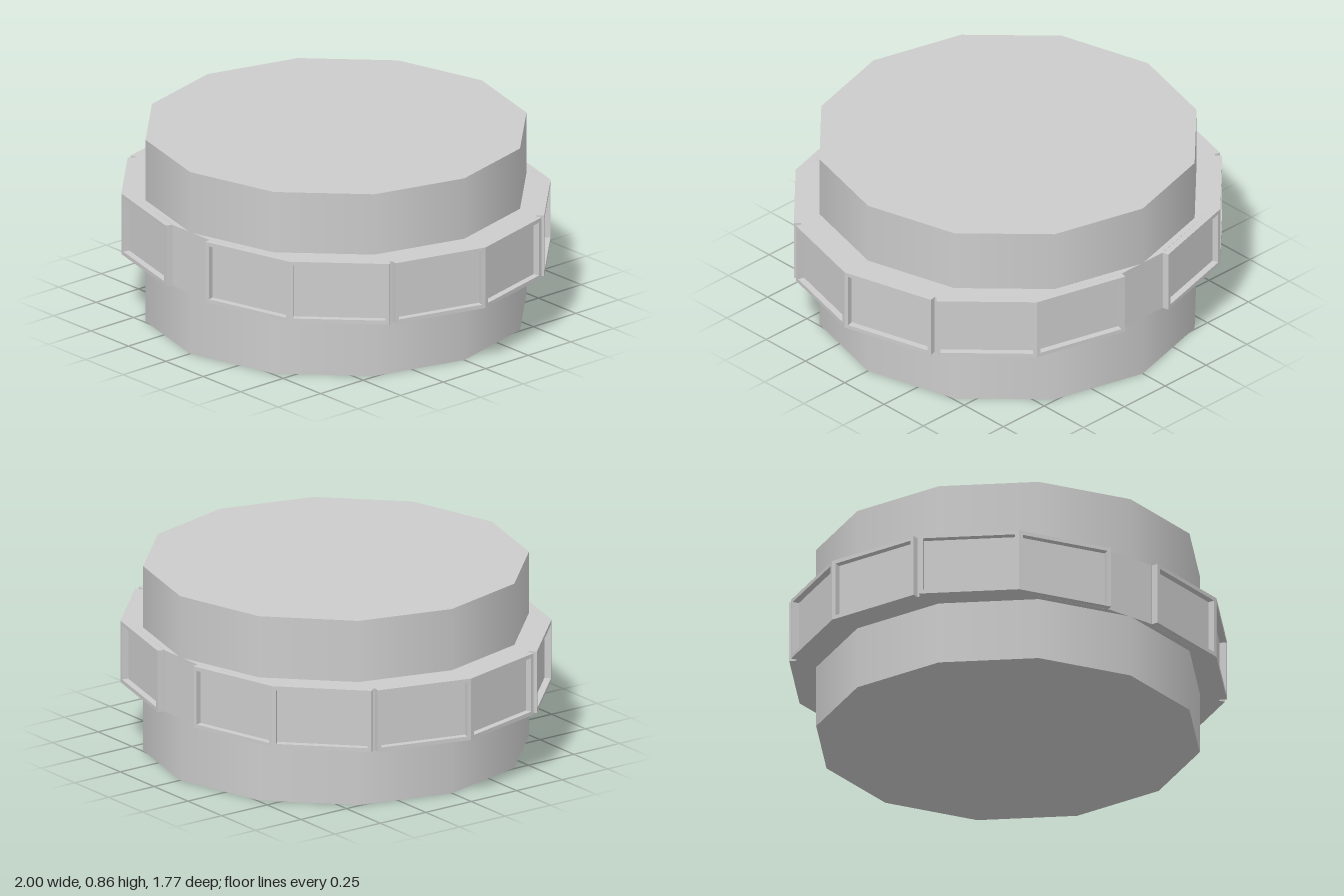
import * as THREE from 'three';

const RAD = Math.PI / 180;
const BAND_BOTTOM = 0.287, BAND_HEIGHT = 0.286;
const PANEL_WIDTH = 0.444, BORDER = 0.018, DEPTH = 0.03;

function rectangle(target, w, h) {
  target.moveTo(-w / 2, -h / 2);
  target.lineTo(w / 2, -h / 2);
  target.lineTo(w / 2, h / 2);
  target.lineTo(-w / 2, h / 2);
  target.closePath();
  return target;
}

export function createModel() {
  const model = new THREE.Group();
  model.name = 'bandedDrum';
  const smooth = new THREE.MeshStandardMaterial({ color: 0xcccccc });
  const flat = new THREE.MeshStandardMaterial({ color: 0xcccccc, flatShading: true });

  // Twelve-sided drum, shaded smoothly around its side
  const drum = new THREE.Mesh(new THREE.CylinderGeometry(0.857, 0.857, 0.858, 12), smooth);
  drum.name = 'drum';
  drum.position.y = 0.429;
  model.add(drum);

  // Band body: its faces are the floors of the recessed panels
  const quarter = [[0.969, 0], [0.853, 0.434], [0.546, 0.741], [0.12, 0.854]];
  const mirrored = quarter.slice().reverse().map(([x, z]) => [-x, z]);
  const half = [...quarter, ...mirrored];
  const outline = [...half, ...half.slice(1, -1).reverse().map(([x, z]) => [x, -z])];
  const bodyGeometry = new THREE.ExtrudeGeometry(
    new THREE.Shape(outline.map(([x, z]) => new THREE.Vector2(x, z))),
    { depth: BAND_HEIGHT, bevelEnabled: false }
  );
  bodyGeometry.rotateX(-Math.PI / 2);
  const body = new THREE.Mesh(bodyGeometry, flat);
  body.name = 'bandBody';
  body.position.y = BAND_BOTTOM;
  model.add(body);

  // Raised rectangular frame, with its outer face at local z = 0
  const frameShape = rectangle(new THREE.Shape(), PANEL_WIDTH, BAND_HEIGHT);
  frameShape.holes.push(
    rectangle(new THREE.Path(), PANEL_WIDTH - 2 * BORDER, BAND_HEIGHT - 2 * BORDER)
  );
  const frameGeometry = new THREE.ExtrudeGeometry(frameShape, { depth: DEPTH, bevelEnabled: false });
  frameGeometry.translate(0, 0, -DEPTH);

  // Three frames per quarter: facing angle, starting corner, direction along the face
  const frames = [
    { angle: 15, corner: [1, 0], along: 1 },
    { angle: 45, corner: [0.561, 0.768], along: -1 },
    { angle: 75, corner: [0.561, 0.768], along: 1 },
  ];
  for (const { angle, corner, along } of frames) {
    const nx = Math.cos(angle * RAD), nz = Math.sin(angle * RAD);
    const cx = corner[0] - along * nz * PANEL_WIDTH / 2;
    const cz = corner[1] + along * nx * PANEL_WIDTH / 2;
    for (const sx of [1, -1]) {
      for (const sz of [1, -1]) {
        const frame = new THREE.Mesh(frameGeometry, flat);
        frame.name = 'panelFrame';
        frame.position.set(sx * cx, BAND_BOTTOM + BAND_HEIGHT / 2, sz * cz);
        frame.rotation.y = Math.atan2(sx * nx, sz * nz);
        model.add(frame);
      }
    }
  }
  return model;
}
